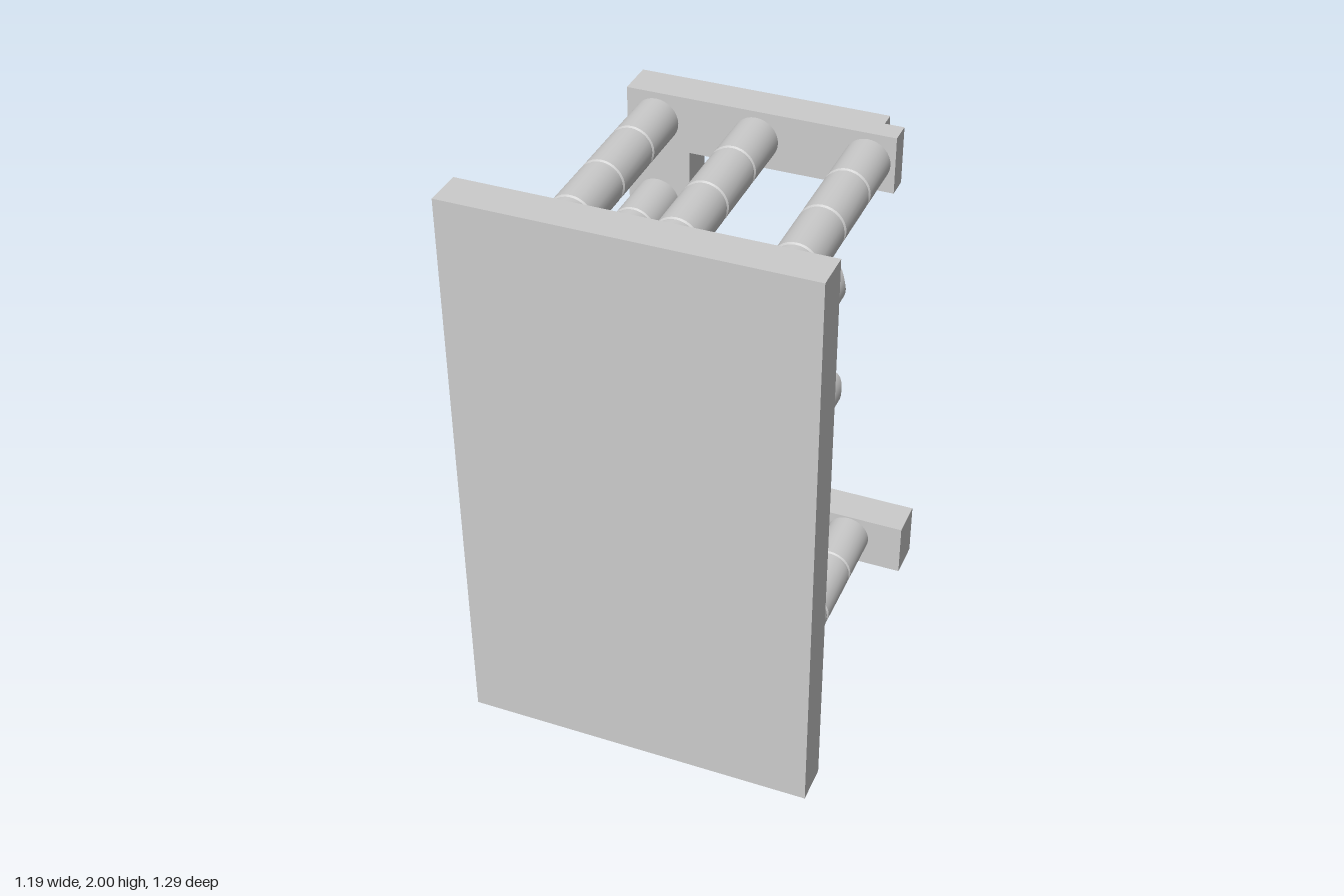
import * as THREE from 'three';
import { toCreasedNormals } from 'three/addons/utils/BufferGeometryUtils.js';

const grey = new THREE.MeshStandardMaterial({ color: 0xcccccc });
const R = 0.078, PLATE_Z = 0.467, FRAME_Z = -0.44;

function add(parent, name, geometry) {
  const mesh = new THREE.Mesh(geometry, grey);
  mesh.name = name;
  parent.add(mesh);
  return mesh;
}

// Box given by its limits on each axis
function box(parent, name, [x0, x1], [y0, y1], [z0, z1]) {
  const g = new THREE.BoxGeometry(x1 - x0, y1 - y0, z1 - z0);
  g.translate((x0 + x1) / 2, (y0 + y1) / 2, (z0 + z1) / 2);
  return add(parent, name, g);
}

function polygon(points) {
  return new THREE.Shape(points.map(([x, y]) => new THREE.Vector2(x, y)));
}

function extrude(shape, z0, z1) {
  const g = new THREE.ExtrudeGeometry(shape, { depth: z1 - z0, bevelEnabled: false });
  return g.translate(0, 0, z0);
}

// Rod along z with shallow grooves; cut(x, y) shifts the free end of a broken rod
function rodGeometry(zEnd, cut) {
  const profile = [[0, zEnd], [R, zEnd]];
  for (const z of [-0.231, 0.002, 0.232]) {
    if (z - 0.02 < zEnd) continue;
    profile.push([R, z - 0.01], [R - 0.005, z - 0.005], [R - 0.005, z + 0.005], [R, z + 0.01]);
  }
  profile.push([R, PLATE_Z], [0, PLATE_Z]);
  const g = new THREE.LatheGeometry(profile.map(([r, z]) => new THREE.Vector2(r, z)), 32);
  g.rotateX(Math.PI / 2);
  if (cut) {
    const p = g.attributes.position;
    for (let i = 0; i < p.count; i++) {
      if (p.getZ(i) < zEnd + 0.001) p.setZ(i, zEnd + cut(p.getX(i), p.getY(i)));
    }
  }
  return toCreasedNormals(g, Math.PI / 7);
}

export function createModel() {
  const model = new THREE.Group();
  model.name = 'rodRack';

  // Front plate with a stepped inner panel
  box(model, 'frontPlate', [-0.595, 0.595], [0, 2], [0.51, 0.642]);
  box(model, 'innerPanel', [-0.545, 0.545], [0.035, 1.968], [PLATE_Z, 0.51]);

  // C-shaped rear frame in two layers, the upper arm ending in a step
  const frameShape = (armEnd) => polygon([
    [-0.465, 0.095], [0.565, 0.095], [0.565, 0.288], [-0.245, 0.288],
    [-0.245, 1.655], [armEnd, 1.655], [armEnd, 1.855], [-0.465, 1.855],
  ]);
  add(model, 'frameInnerLayer', extrude(frameShape(0.46), -0.518, FRAME_Z));
  add(model, 'frameOuterLayer', extrude(frameShape(0.395), -0.573, -0.518));
  box(model, 'armPeg', [0.395, 0.425], [1.72, 1.785], [-0.545, -0.518]);

  // Control panel on the upper arm, with one slot and two raised latches
  const panel = polygon([[-0.003, 1.685], [0.326, 1.685], [0.326, 1.82], [-0.003, 1.82]]);
  panel.holes.push(new THREE.Path([
    [0.255, 1.715], [0.255, 1.79], [0.285, 1.79], [0.285, 1.715],
  ].map(([x, y]) => new THREE.Vector2(x, y))));
  add(model, 'controlPanel', extrude(panel, -0.62, -0.573));
  box(model, 'squareLatch', [0.027, 0.092], [1.722, 1.785], [-0.645, -0.62]);
  box(model, 'tallLatch', [0.162, 0.192], [1.715, 1.785], [-0.645, -0.62]);
  box(model, 'latchFoot', [0.192, 0.222], [1.755, 1.785], [-0.633, -0.62]);

  // Full rods: a column of six, and the top and bottom rows across
  const rod = rodGeometry(FRAME_Z);
  const rows = [1.755, 1.453, 1.138, 0.833, 0.5, 0.205];
  for (const x of [-0.362, -0.014, 0.366]) {
    rows.forEach((y, i) => {
      if (x < -0.3 || i === 0 || i === rows.length - 1) {
        add(model, 'rod', rod).position.set(x, y, 0);
      }
    });
  }

  // Two snapped rods with slanted, dished ends
  const dish = (x, y) => (Math.hypot(x, y) < 0.01 ? 0.012 : 0);
  const jag = (x, y) => 0.007 * Math.sin(5 * Math.atan2(y, x));
  const upperCut = (x, y) => -0.25 * y + 0.12 * x + jag(x, y) + dish(x, y);
  const lowerCut = (x, y) => -0.2 * y + 0.1 * Math.abs(x) + jag(y, x) + dish(x, y);
  add(model, 'upperBrokenRod', rodGeometry(-0.192, upperCut)).position.set(0.318, 1.432, 0);
  add(model, 'lowerBrokenRod', rodGeometry(-0.2, lowerCut)).position.set(0.318, 1.022, 0);

  // Wedge catch on the inner panel, between the broken rods
  const wedge = extrude(polygon([
    [-PLATE_Z, 1.197], [-0.423, 1.197], [-0.445, 1.335], [-PLATE_Z, 1.335],
  ]), 0.265, 0.37);
  add(model, 'wedgeCatch', wedge.rotateY(Math.PI / 2).scale(1, 1, 1));

  return model;
}
